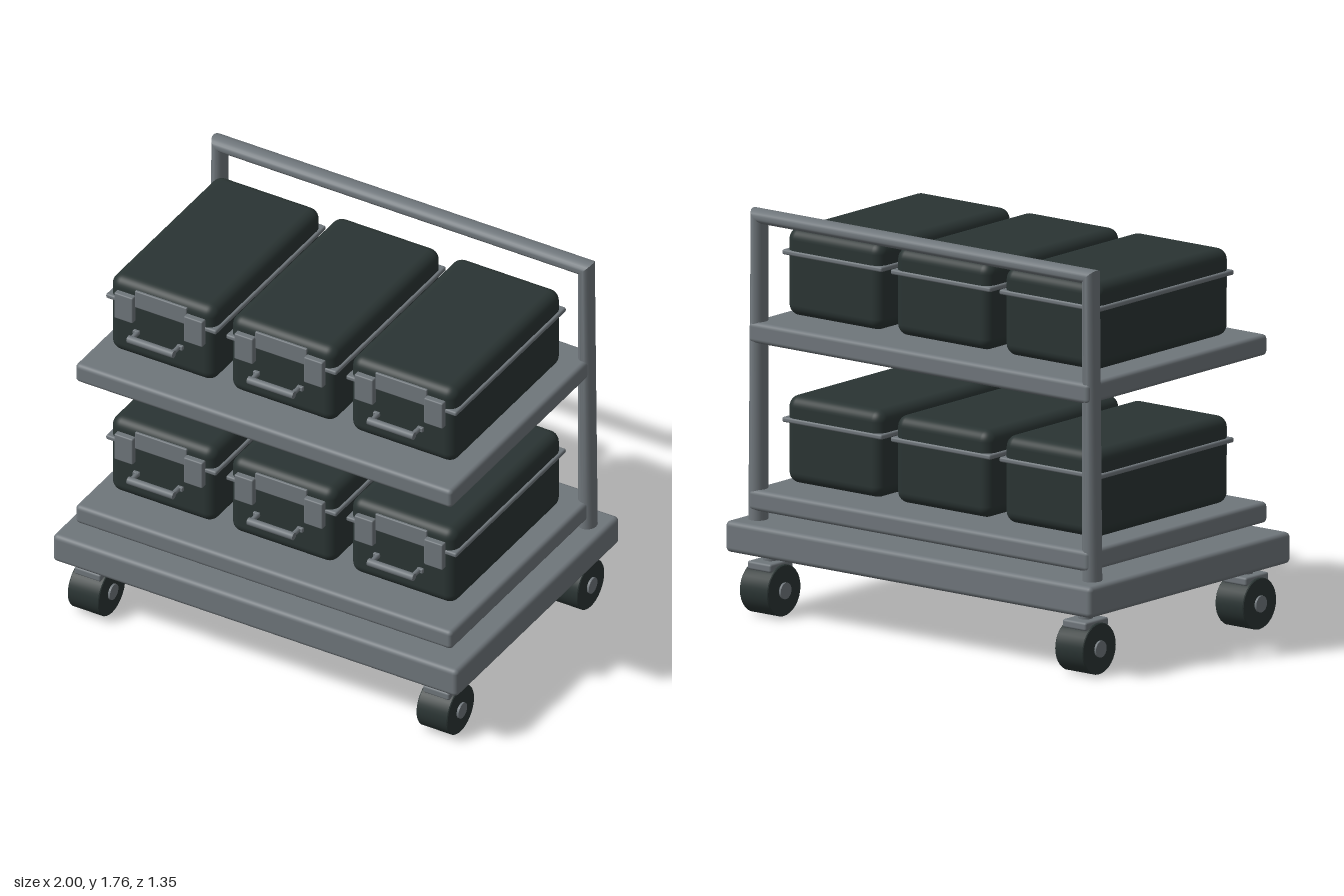
import * as THREE from 'three';
import { toCreasedNormals } from 'three/addons/utils/BufferGeometryUtils.js';
import { RoundedBoxGeometry } from 'three/addons/geometries/RoundedBoxGeometry.js';

const steel = new THREE.MeshStandardMaterial({ color: 0x6f767b });
steel.name = 'steel grey';
const dark = new THREE.MeshStandardMaterial({ color: 0x2a3433 });
dark.name = 'dark green grey';

function add(parent, name, geometry, material, x = 0, y = 0, z = 0) {
  const mesh = new THREE.Mesh(geometry, material);
  mesh.name = name;
  mesh.position.set(x, y, z);
  parent.add(mesh);
}

// Box given by its size, with softened edges
const box = (w, h, d, r = 0.02, seg = 3) => new RoundedBoxGeometry(w, h, d, seg, r);

// Cylinder lying along x
const axle = (r, length, sides = 24) => new THREE.CylinderGeometry(r, r, length, sides).rotateZ(Math.PI / 2);

// Push rail: an oval section swept up, across and down with mitred corners
function railGeometry() {
  const sides = 24, depth = 0.045, z = -0.557;
  const rings = [ // centre x, centre y, offset x, offset y
    [-0.912, 0.4, -0.041, 0], [-0.905, 1.731, -0.032, 0.032],
    [0.905, 1.731, 0.032, 0.032], [0.912, 0.4, 0.041, 0],
  ];
  const positions = [], index = [];
  rings.forEach(([cx, cy, ox, oy], i) => {
    for (let j = 0; j < sides; j++) {
      const a = (j / sides) * Math.PI * 2;
      positions.push(cx + ox * Math.cos(a), cy + oy * Math.cos(a), z + depth * Math.sin(a));
      if (i === rings.length - 1) continue;
      const k = (j + 1) % sides, p = i * sides, q = p + sides;
      index.push(p + j, p + k, q + j, p + k, q + k, q + j);
    }
  });
  const geometry = new THREE.BufferGeometry();
  geometry.setAttribute('position', new THREE.Float32BufferAttribute(positions, 3));
  geometry.setIndex(index);
  return toCreasedNormals(geometry, 0.6);
}

// Storage case standing on y = 0, front towards +z
function createCase() {
  const group = new THREE.Group();
  group.name = 'storageCase';
  add(group, 'caseBody', box(0.52, 0.382, 0.905, 0.05, 5), dark, 0, 0.191, 0.001);
  add(group, 'lidSeam', box(0.545, 0.022, 0.915, 0.008, 2), steel, 0, 0.275, 0);
  add(group, 'latchPlate', box(0.256, 0.085, 0.03, 0.005, 2), steel, 0, 0.31, 0.444);
  for (const side of [-1, 1]) {
    add(group, 'latch', box(0.092, 0.13, 0.035, 0.006, 2), steel, side * 0.172, 0.26, 0.463);
    const arm = new THREE.CylinderGeometry(0.011, 0.011, 0.06, 12).rotateX(Math.PI / 2);
    add(group, 'handleArm', arm, steel, side * 0.102, 0.157, 0.505);
    add(group, 'handleFoot', box(0.03, 0.022, 0.016, 0.004, 2), steel, side * 0.108, 0.157, 0.478);
  }
  add(group, 'handleGrip', axle(0.017, 0.226, 16), steel, 0, 0.157, 0.537);
  return group;
}

// Caster wheel standing on y = 0
function createCaster() {
  const group = new THREE.Group();
  group.name = 'caster';
  const profile = [[0, -0.077], [0.109, -0.077], [0.112, -0.073], [0.112, 0.073], [0.109, 0.077], [0, 0.077]]
    .map(([r, y]) => new THREE.Vector2(r, y));
  const tyre = toCreasedNormals(new THREE.LatheGeometry(profile, 32).rotateZ(Math.PI / 2), 0.5);
  add(group, 'tyre', tyre, dark, 0, 0.112, 0);
  add(group, 'hub', axle(0.036, 0.174), steel, 0, 0.112, 0);
  add(group, 'casterPlate', box(0.13, 0.037, 0.155, 0.01), steel, 0, 0.217, 0);
  add(group, 'casterStem', new THREE.CylinderGeometry(0.031, 0.031, 0.06, 20), steel, 0, 0.255, 0);
  return group;
}

export function createModel() {
  const cart = new THREE.Group();
  cart.name = 'storageCart';

  // Base, shelves and rail
  add(cart, 'basePlatform', box(2, 0.136, 1.354, 0.022), steel, 0, 0.342, 0);
  add(cart, 'lowerShelf', box(1.86, 0.091, 1.212), steel, 0, 0.499, 0);
  add(cart, 'upperShelf', box(1.86, 0.091, 1.212), steel, 0, 1.229, 0);
  add(cart, 'pushRail', railGeometry(), steel);

  // Three cases on each shelf
  for (const y of [0.556, 1.286]) {
    for (const x of [-0.593, 0, 0.593]) {
      const storageCase = createCase();
      storageCase.position.set(x, y, 0);
      cart.add(storageCase);
    }
  }

  // Four casters
  for (const x of [-0.861, 0.861]) {
    for (const z of [-0.54, 0.54]) {
      const caster = createCaster();
      caster.position.set(x, 0, z);
      cart.add(caster);
    }
  }
  return cart;
}
